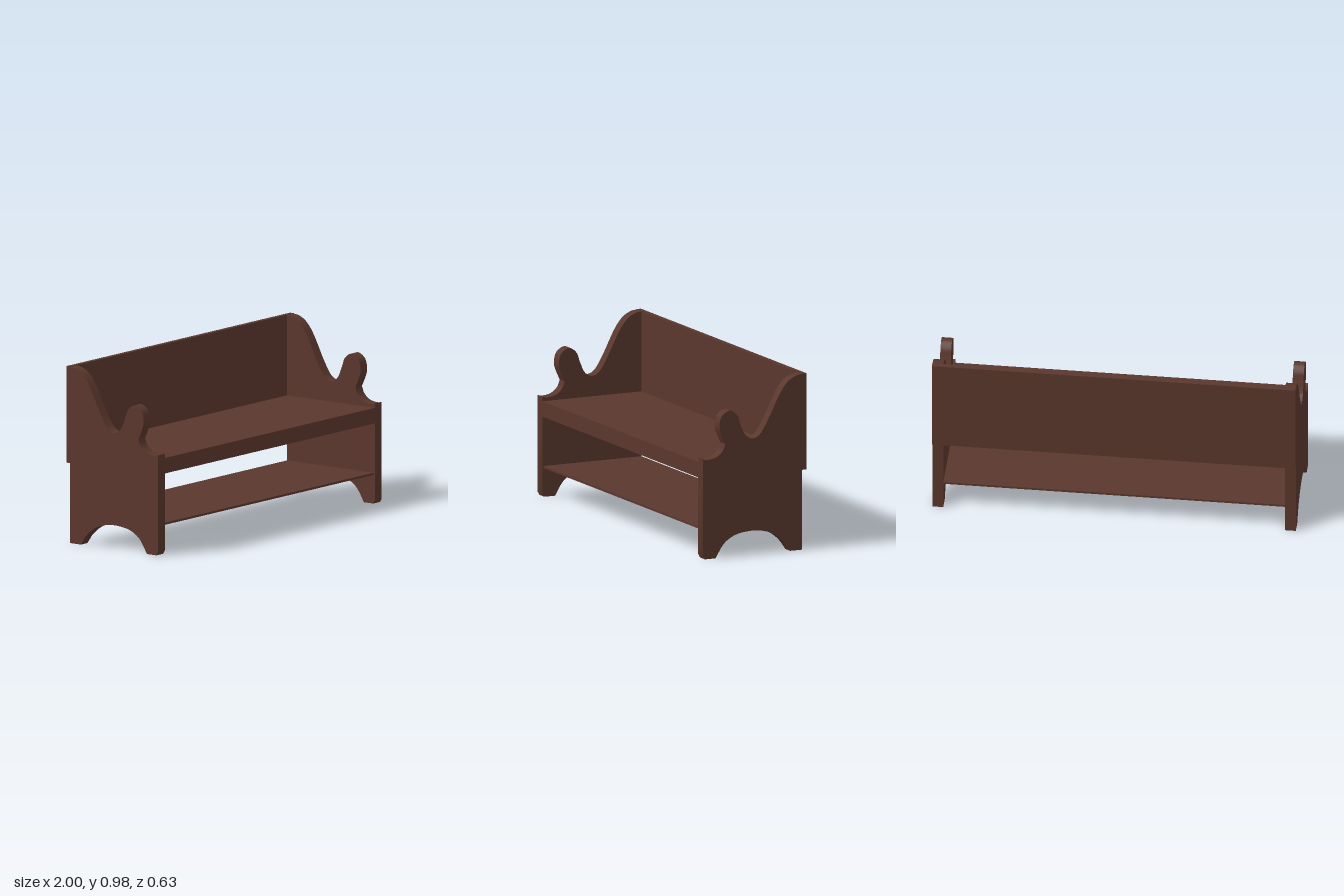
import * as THREE from 'three';
import { toCreasedNormals } from 'three/addons/utils/BufferGeometryUtils.js';

const T = 0.06; // thickness of the end panels
const pts = (list) => list.map(([z, y]) => new THREE.Vector2(z, y));

// Scrolled end panel, drawn in (z, y) and extruded along x
function endPanelGeometry() {
  const s = new THREE.Shape();
  s.moveTo(0.24, 0);
  s.lineTo(0.305, 0);
  s.lineTo(0.317, 0.02);
  s.lineTo(0.317, 0.558);
  // front hollow
  s.splineThru(pts([[0.29, 0.553], [0.25, 0.558], [0.22, 0.572], [0.195, 0.597], [0.181, 0.632]]));
  // arm knob and sweep up to the back
  s.splineThru(pts([[0.205, 0.685], [0.217, 0.73], [0.202, 0.788], [0.152, 0.816], [0.108, 0.786],
    [0.088, 0.735], [0.06, 0.675], [0.018, 0.648], [-0.03, 0.667], [-0.08, 0.742], [-0.15, 0.876],
    [-0.2, 0.943], [-0.25, 0.973], [-0.29, 0.98]]));
  s.lineTo(-0.29, 0);
  s.lineTo(-0.217, 0);
  // foot arch
  s.splineThru(pts([[-0.18, 0.052], [-0.13, 0.095], [-0.07, 0.122], [0.01, 0.134], [0.1, 0.125],
    [0.16, 0.1], [0.2, 0.064], [0.24, 0]]));
  const g = new THREE.ExtrudeGeometry(s, { depth: T, bevelEnabled: false, curveSegments: 40 });
  g.rotateY(-Math.PI / 2);
  g.translate(T / 2, 0, 0);
  return toCreasedNormals(g, 0.6);
}

export function createModel() {
  const model = new THREE.Group();
  model.name = 'bench';
  const wood = new THREE.MeshStandardMaterial({ color: 0x5a372d });
  wood.name = 'dark brown wood';

  const add = (name, geometry) => {
    const mesh = new THREE.Mesh(geometry, wood);
    mesh.name = name;
    model.add(mesh);
    return mesh;
  };
  // Board given by its width and its y and z ranges
  const board = (name, width, y0, y1, z0, z1) => {
    const mesh = add(name, new THREE.BoxGeometry(width, y1 - y0, z1 - z0));
    mesh.position.set(0, (y0 + y1) / 2, (z0 + z1) / 2);
  };

  // End panels
  const panel = endPanelGeometry();
  add('leftEndPanel', panel).position.x = 1 - T / 2;
  add('rightEndPanel', panel).position.x = -1 + T / 2;

  // Boards between and behind the ends
  const inner = 2 - 2 * T;
  board('backBoard', 2, 0.445, 0.982, -0.317, -0.29);
  board('seat', inner, 0.522, 0.534, -0.29, 0.317);
  board('apron', inner, 0.448, 0.522, 0.295, 0.317);
  board('shelf', inner, 0.16, 0.172, -0.29, 0.31);

  return model;
}
